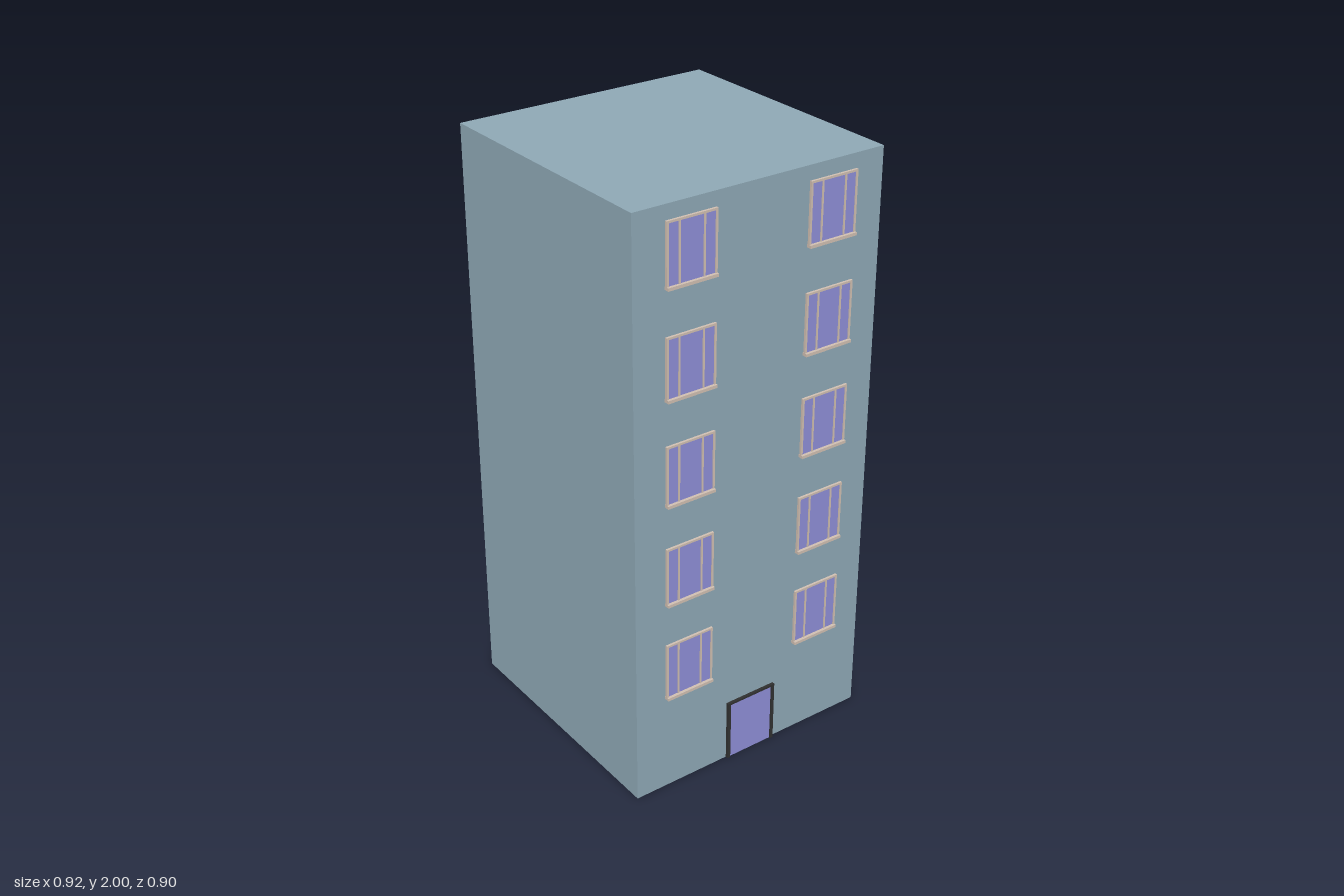
import * as THREE from 'three';

const material = (color) => new THREE.MeshStandardMaterial({ color });
const wallMat = material(0x8ea8b5);
const glassMat = material(0x8e8ed6);
const trimMat = material(0xd0bfb2);
const doorTrimMat = material(0x303030);

// Box given by its limits along each axis
function block(name, mat, [x0, x1], [y0, y1], [z0, z1]) {
  const mesh = new THREE.Mesh(new THREE.BoxGeometry(x1 - x0, y1 - y0, z1 - z0), mat);
  mesh.position.set((x0 + x1) / 2, (y0 + y1) / 2, (z0 + z1) / 2);
  mesh.name = name;
  return mesh;
}

// Three-light window, base at y = 0 and centred on z = 0
function createWindow() {
  const g = new THREE.Group();
  const half = 0.088, height = 0.205, bar = 0.007, depth = [0.444, 0.452];
  g.add(block('windowGlass', glassMat, [0.445, 0.449], [0.008, height - 0.003], [-half + 0.003, half - 0.003]));
  g.add(block('windowSill', trimMat, [0.441, 0.459], [0, 0.01], [-half, half]));
  g.add(block('windowHead', trimMat, depth, [height - bar, height], [-half, half]));
  for (const side of [-1, 1]) {
    const jamb = side * (half - bar / 2);
    const mullion = side * 0.043;
    g.add(block('windowJamb', trimMat, depth, [0.01, height - bar], [jamb - bar / 2, jamb + bar / 2]));
    g.add(block('windowMullion', trimMat, depth, [0.01, height - bar], [mullion - 0.003, mullion + 0.003]));
  }
  return g;
}

// Glazed entrance with a dark surround
function createDoor() {
  const g = new THREE.Group();
  g.name = 'entranceDoor';
  const half = 0.095, height = 0.22, bar = 0.011, depth = [0.438, 0.448];
  g.add(block('doorPanel', glassMat, [0.438, 0.443], [0, height - 0.006], [-half + bar, half - bar]));
  g.add(block('doorHead', doorTrimMat, depth, [height - 0.007, height], [-half, half]));
  for (const side of [-1, 1]) {
    const edges = [side * half, side * (half - bar)].sort((a, b) => a - b);
    g.add(block('doorJamb', doorTrimMat, depth, [0, height - 0.007], edges));
  }
  return g;
}

export function createModel() {
  const model = new THREE.Group();
  model.name = 'apartmentBlock';
  model.add(block('building', wallMat, [-0.46, 0.438], [0, 2], [-0.45, 0.45]));
  model.add(createDoor());

  // Two columns of windows over five floors
  for (let floor = 0; floor < 5; floor++) {
    for (const side of [-1, 1]) {
      const w = createWindow();
      w.name = 'window';
      w.position.set(0, 0.35 + floor * 0.35, side * 0.255);
      model.add(w);
    }
  }
  return model;
}
